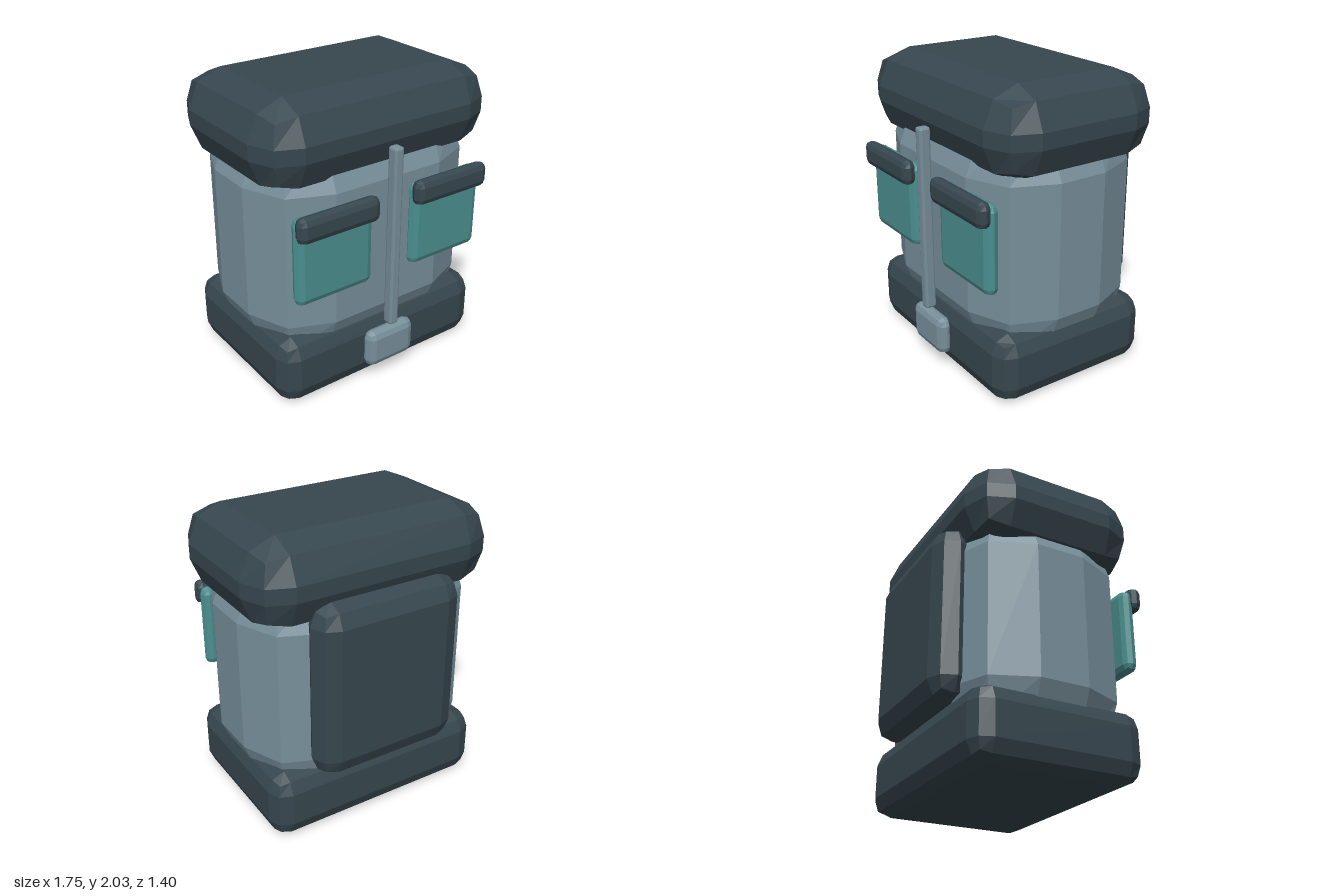
import * as THREE from 'three';
import { RoundedBoxGeometry } from 'three/addons/geometries/RoundedBoxGeometry.js';

function paint(name, color) {
  const m = new THREE.MeshStandardMaterial({ color });
  m.name = name;
  return m;
}

// Faceted soft box spanning x0..x1, y0..y1, z0..z1, with bevel radius r
function softBox(name, material, [x0, x1], [y0, y1], [z0, z1], r) {
  // a one-step rounded box has its flat faces sunk by this share of r
  const grow = 2 * r * (1 - 3 / Math.sqrt(11));
  const geometry = new RoundedBoxGeometry(x1 - x0 + grow, y1 - y0 + grow, z1 - z0 + grow, 1, r);
  geometry.computeVertexNormals(); // unindexed, so every facet is flat
  geometry.clearGroups();
  const mesh = new THREE.Mesh(geometry, material);
  mesh.name = name;
  mesh.position.set((x0 + x1) / 2, (y0 + y1) / 2, (z0 + z1) / 2);
  return mesh;
}

export function createModel() {
  const slate = paint('dark slate', 0x37474f);
  const steel = paint('blue grey', 0x78909c);
  const teal = paint('teal', 0x4b9090);

  const model = new THREE.Group();
  model.name = 'cabinet';

  // Main stack
  model.add(
    softBox('base', slate, [-0.795, 0.795], [0, 0.445], [-0.573, 0.573], 0.12),
    softBox('body', steel, [-0.78, 0.78], [0.15, 1.8], [-0.54, 0.54], 0.41),
    softBox('cap', slate, [-0.85, 0.85], [1.463, 2], [-0.573, 0.573], 0.24),
    softBox('backPanel', slate, [-0.52, 0.52], [0.435, 1.615], [-0.692, -0.44], 0.14)
  );

  // Front trim
  model.add(
    softBox('centreRod', steel, [-0.033, 0.033], [0.395, 1.655], [0.593, 0.667], 0.015),
    softBox('lowerPlate', steel, [-0.182, 0.182], [0.1, 0.353], [0.55, 0.655], 0.05)
  );

  // Mirrored pair of windows with hoods
  for (const [side, s] of [['left', 1], ['right', -1]]) {
    const span = (a, b) => (s > 0 ? [a, b] : [-b, -a]);
    model.add(
      softBox(side + 'Window', teal, span(0.165, 0.723), [0.768, 1.35], [0.543, 0.63], 0.047),
      softBox(side + 'Hood', slate, span(0.15, 0.737), [1.22, 1.382], [0.604, 0.69], 0.045)
    );
  }
  return model;
}
